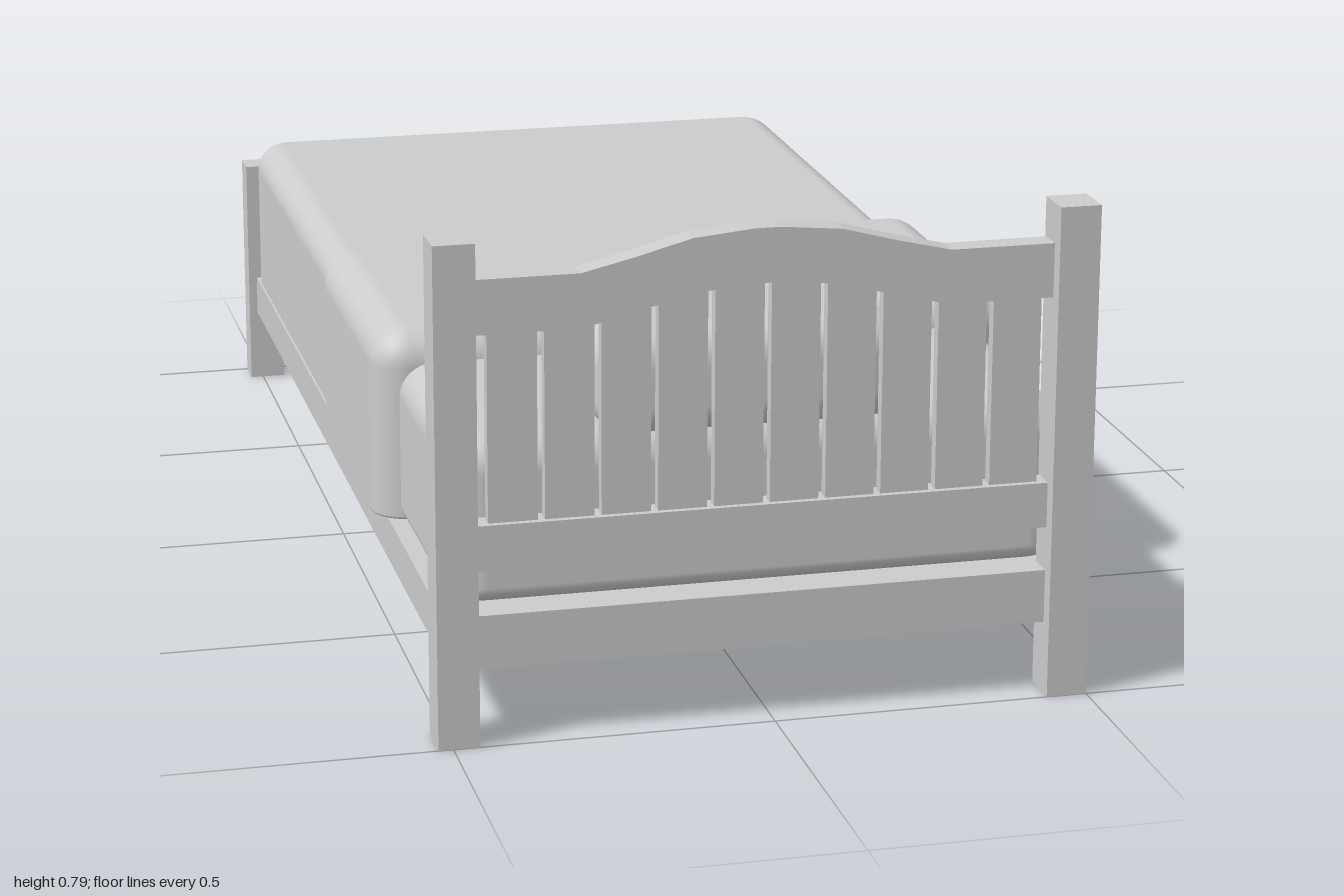
import * as THREE from 'three';

const grey = new THREE.MeshStandardMaterial({ color: 0xcccccc });
grey.name = 'plain grey';

// Box given by its limits on each axis
function box(parent, name, x0, x1, y0, y1, z0, z1) {
  const mesh = new THREE.Mesh(new THREE.BoxGeometry(x1 - x0, y1 - y0, z1 - z0), grey);
  mesh.position.set((x0 + x1) / 2, (y0 + y1) / 2, (z0 + z1) / 2);
  mesh.name = name;
  parent.add(mesh);
  return mesh;
}

// Cushion: rounded-rectangle rings stacked in y, with rounded top and bottom rims
function cushion(parent, name, [x0, x1], [y0, y1], [z0, z1], corner, topR, bottomR) {
  const steps = 8, arc = 8, rings = [];
  for (let i = 0; i <= steps; i++) {
    const a = (i / steps) * Math.PI / 2;
    rings.push([y0 + bottomR * (1 - Math.sin(a)), bottomR * (1 - Math.cos(a))]);
  }
  rings.reverse();
  for (let i = 0; i <= steps; i++) {
    const a = (i / steps) * Math.PI / 2;
    rings.push([y1 - topR * (1 - Math.sin(a)), topR * (1 - Math.cos(a))]);
  }
  // the bottom rings run from the rim upward
  const lower = rings.slice(0, steps + 1).sort((p, q) => p[0] - q[0]);
  const all = [...lower, ...rings.slice(steps + 1)];
  const cx = (x0 + x1) / 2, cz = (z0 + z1) / 2, hx = (x1 - x0) / 2, hz = (z1 - z0) / 2;
  const pos = [], index = [], n = 4 * (arc + 1);
  for (const [y, inset] of all) {
    const r = Math.max(corner - inset, 0.01);
    for (let q = 0; q < 4; q++) {
      const sx = q === 0 || q === 3 ? 1 : -1, sz = q < 2 ? 1 : -1;
      for (let k = 0; k <= arc; k++) {
        const a = (q + k / arc) * Math.PI / 2;
        pos.push(cx + sx * (hx - inset - r) + r * Math.cos(a), y, cz + sz * (hz - inset - r) + r * Math.sin(a));
      }
    }
  }
  for (let j = 0; j < all.length - 1; j++) {
    for (let i = 0; i < n; i++) {
      const a = j * n + i, b = j * n + (i + 1) % n;
      index.push(a, a + n, b, b, a + n, b + n);
    }
  }
  const bottom = pos.length / 3, top = bottom + 1, last = (all.length - 1) * n;
  pos.push(cx, y0, cz, cx, y1, cz);
  for (let i = 0; i < n; i++) {
    const k = (i + 1) % n;
    index.push(bottom, i, k, top, last + k, last + i);
  }
  const geo = new THREE.BufferGeometry();
  geo.setAttribute('position', new THREE.Float32BufferAttribute(pos, 3));
  geo.setIndex(index);
  geo.computeVertexNormals();
  const mesh = new THREE.Mesh(geo, grey);
  mesh.name = name;
  parent.add(mesh);
  return mesh;
}

// Row of ten upright slats
function slats(parent, name, topAt, y0, z0, z1) {
  for (let i = 0; i < 10; i++) {
    const x = -0.399 + i * 0.0869;
    box(parent, name, x - 0.038, x + 0.038, y0, topAt(x), z0, z1);
  }
}

const LEFT = 0.5, RIGHT = -0.523, POST = 0.064, MID = (LEFT + RIGHT) / 2;
const IN_L = LEFT - POST, IN_R = RIGHT + POST;

export function createModel() {
  const bed = new THREE.Group();
  bed.name = 'bed';

  // Headboard: posts, two rails, arched top rail, slats
  const head = new THREE.Group();
  head.name = 'headboard';
  bed.add(head);
  box(head, 'headPost', RIGHT, IN_R, 0, 0.785, 0.93, 1);
  box(head, 'headPost', IN_L, LEFT, 0, 0.785, 0.93, 1);
  box(head, 'headLowerRail', IN_R, IN_L, 0.115, 0.2, 0.935, 0.975);
  box(head, 'headMiddleRail', IN_R, IN_L, 0.27, 0.342, 0.935, 0.975);
  const half = [[0.02, 0.052], [0.115, 0.043], [0.2, 0.02], [0.285, 0], [IN_L - MID, 0]];
  const curve = [...half.map(([x, y]) => [-x, y]).reverse(), ...half];
  const arch = new THREE.Shape([
    ...curve.map(([x, y]) => new THREE.Vector2(MID + x, 0.638 + y)),
    ...curve.slice().reverse().map(([x, y]) => new THREE.Vector2(MID + x, 0.723 + y)),
  ]);
  const archRail = new THREE.Mesh(new THREE.ExtrudeGeometry(arch, { depth: 0.04, bevelEnabled: false }), grey);
  archRail.position.z = 0.935;
  archRail.name = 'archedTopRail';
  head.add(archRail);
  slats(head, 'headSlat', (x) => (Math.abs(x - MID) < 0.2 ? 0.69 : 0.66), 0.33, 0.945, 0.965);

  // Footboard: posts under a full-width cap, lower rail, slats
  const foot = new THREE.Group();
  foot.name = 'footboard';
  bed.add(foot);
  box(foot, 'footPost', RIGHT, IN_R, 0, 0.36, -1, -0.943);
  box(foot, 'footPost', IN_L, LEFT, 0, 0.36, -1, -0.943);
  box(foot, 'footCap', RIGHT, LEFT, 0.36, 0.42, -1, -0.943);
  box(foot, 'footLowerRail', IN_R, IN_L, 0.115, 0.2, -0.99, -0.95);
  slats(foot, 'footSlat', () => 0.365, 0.195, -0.978, -0.958);

  // Side rails and the base panel
  box(bed, 'sideRail', -0.508, -0.467, 0.13, 0.2, -0.945, 0.935);
  box(bed, 'sideRail', 0.455, 0.496, 0.13, 0.2, -0.945, 0.935);
  box(bed, 'basePanel', -0.47, 0.458, 0.175, 0.199, -0.96, 0.945);

  // Bedding
  cushion(bed, 'mattress', [-0.489, 0.484], [0.2, 0.46], [-0.925, 0.93], 0.06, 0.055, 0.025);
  cushion(bed, 'blanket', [-0.508, 0.5], [0.205, 0.477], [-0.938, 0.3], 0.06, 0.05, 0.005);
  cushion(bed, 'foldedBlanket', [-0.529, 0.525], [0.2, 0.511], [-0.028, 0.52], 0.06, 0.06, 0.005);

  // Pillow, thinner toward the foot end
  const pillow = cushion(bed, 'pillow', [-0.256, 0.234], [0.435, 0.615], [0.582, 0.927], 0.07, 0.065, 0.055);
  const p = pillow.geometry.attributes.position;
  for (let i = 0; i < p.count; i++) {
    const t = (0.92 - p.getZ(i)) / 0.33;
    p.setY(i, 0.435 + (p.getY(i) - 0.435) * (1 - 0.27 * t) + 0.012 * t);
  }
  pillow.geometry.computeVertexNormals();
  return bed;
}
